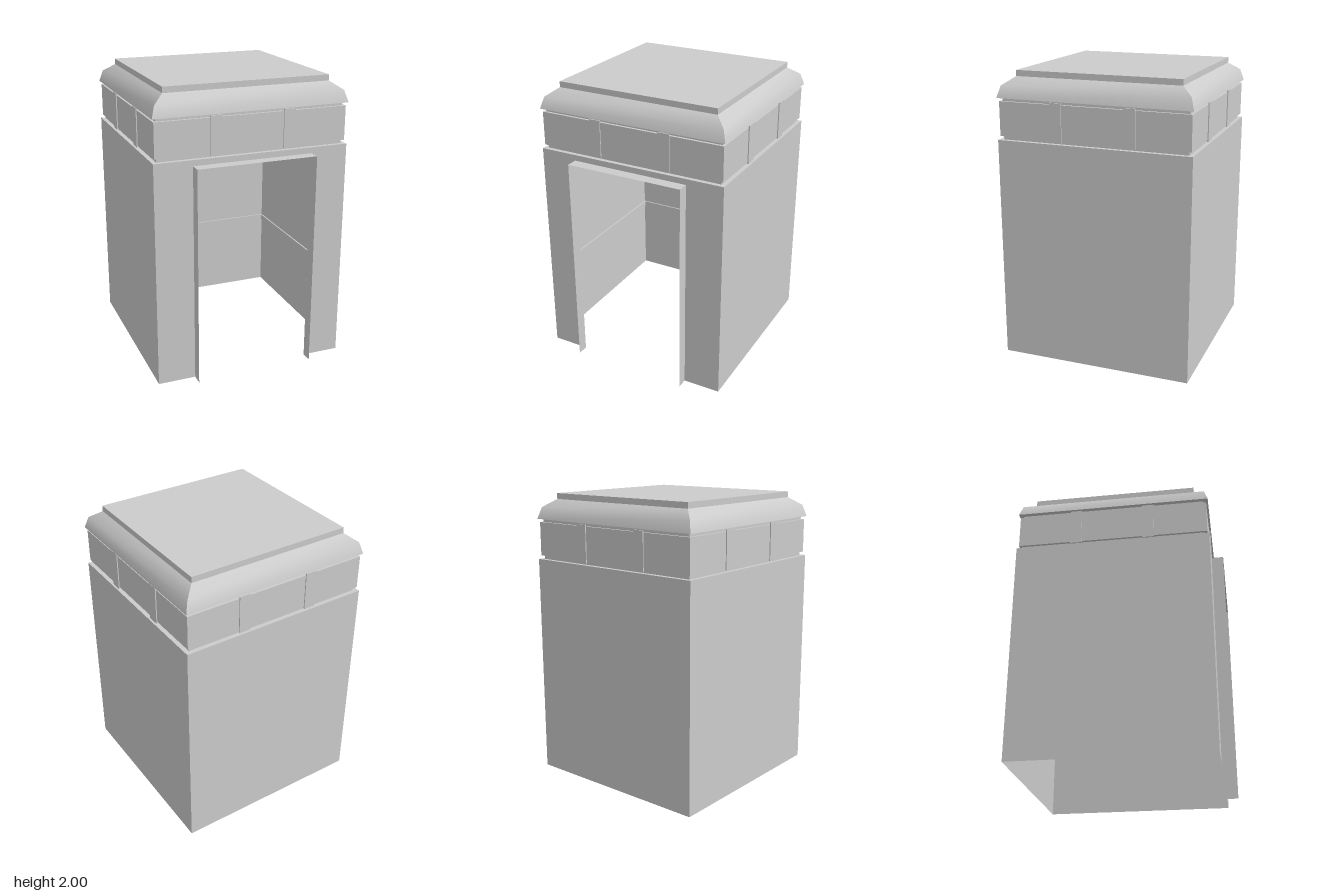
import * as THREE from 'three';

const W = 0.675, D = 0.67, ZC = -0.04;   // half width, half depth, body centre in z
const WALL_TOP = 1.545, DOOR_X = 0.415, DOOR_TOP = 1.505;

export function createModel() {
  const model = new THREE.Group();
  const solid = new THREE.MeshStandardMaterial({ color: 0xcccccc });
  const sheet = new THREE.MeshStandardMaterial({ color: 0xcccccc, side: THREE.DoubleSide });

  function add(name, geometry, x, y, z, material = solid, parent = model) {
    const mesh = new THREE.Mesh(geometry, material);
    mesh.name = name;
    mesh.position.set(x, y, z);
    parent.add(mesh);
    return mesh;
  }
  const block = (name, w, y0, y1, d, x = 0, z = ZC, parent = model) =>
    add(name, new THREE.BoxGeometry(w, y1 - y0, d), x, (y0 + y1) / 2, z, solid, parent);

  // Thin walls, open underneath
  const walls = new THREE.Group();
  walls.name = 'walls';
  model.add(walls);
  const back = add('backWall', new THREE.PlaneGeometry(2 * W, WALL_TOP), 0, WALL_TOP / 2, ZC - D, sheet, walls);
  back.rotation.y = Math.PI;
  for (const s of [-1, 1]) {
    const side = add(s > 0 ? 'leftWall' : 'rightWall',
      new THREE.PlaneGeometry(2 * D, WALL_TOP), s * W, WALL_TOP / 2, ZC, sheet, walls);
    side.rotation.y = s * Math.PI / 2;
  }
  const frontShape = new THREE.Shape([
    [-W, 0], [-DOOR_X, 0], [-DOOR_X, DOOR_TOP], [DOOR_X, DOOR_TOP],
    [DOOR_X, 0], [W, 0], [W, WALL_TOP], [-W, WALL_TOP],
  ].map(([x, y]) => new THREE.Vector2(x, y)));
  add('frontWall', new THREE.ShapeGeometry(frontShape), 0, 0, ZC + D, sheet, walls);
  const ceiling = add('ceiling', new THREE.PlaneGeometry(2 * W, 2 * D), 0, WALL_TOP, ZC, sheet, walls);
  ceiling.rotation.x = -Math.PI / 2;

  // Thin door surround projecting from the front
  const surround = new THREE.Group();
  surround.name = 'doorSurround';
  model.add(surround);
  const reach = 0.08, zMid = ZC + D + reach / 2;
  for (const s of [-1, 1]) {
    const jamb = add('doorJamb', new THREE.PlaneGeometry(reach, DOOR_TOP), s * DOOR_X, DOOR_TOP / 2, zMid, sheet, surround);
    jamb.rotation.y = s * Math.PI / 2;
  }
  const lintel = add('doorLintel', new THREE.PlaneGeometry(2 * DOOR_X, reach), 0, DOOR_TOP, zMid, sheet, surround);
  lintel.rotation.x = -Math.PI / 2;

  // Rail running round the inside of the walls
  const rail = new THREE.Group();
  rail.name = 'innerRail';
  model.add(rail);
  const t = 0.01, postW = W - DOOR_X;
  block('backRail', 2 * W - 0.002, 0.55, 0.59, t, 0, ZC - D + t / 2 + 0.001, rail);
  for (const s of [-1, 1]) {
    block('sideRail', t, 0.55, 0.59, 2 * D - 0.002, s * (W - t / 2 - 0.001), ZC, rail);
    block('frontRail', postW - 0.002, 0.55, 0.59, t, s * (DOOR_X + postW / 2), ZC + D - t / 2 - 0.001, rail);
  }

  // Recessed neck and the panel band around it
  block('neck', 1.29, WALL_TOP, 1.826, 1.28);
  block('panelBand', 1.325, 1.57, 1.803, 1.315);

  // Two clips on each side of the band
  const clips = new THREE.Group();
  clips.name = 'bandClips';
  model.add(clips);
  for (let i = 0; i < 4; i++) {
    const face = new THREE.Group();
    face.name = 'clipPair';
    face.position.z = ZC;
    face.rotation.y = i * Math.PI / 2;
    clips.add(face);
    const out = i % 2 ? 0.665 : 0.66;
    for (const s of [-1, 1]) block('clip', 0.08, 1.557, 1.816, 0.009, s * 0.253, out, face);
  }

  // Mitred roof skirt: each side is a strip, smooth across its bend
  const profile = [[0, 1.825], [0.024, 1.905], [0.1, 1.96]];  // inset, height
  const roof = new THREE.Group();
  roof.name = 'roofSkirt';
  model.add(roof);
  const corners = [[-1, 1], [1, 1], [1, -1], [-1, -1]];
  corners.forEach((a, i) => {
    const b = corners[(i + 1) % 4];
    const positions = [], index = [];
    profile.forEach(([inset, y], r) => {
      for (const c of [a, b]) positions.push(c[0] * (W - inset), y, c[1] * (D - inset));
      if (r) {
        const k = 2 * r;
        index.push(k - 2, k - 1, k + 1, k - 2, k + 1, k);
      }
    });
    const g = new THREE.BufferGeometry();
    g.setAttribute('position', new THREE.Float32BufferAttribute(positions, 3));
    g.setIndex(index);
    g.computeVertexNormals();
    add('roofSlope', g, 0, 0, ZC, sheet, roof);
  });
  const soffit = add('roofSoffit', new THREE.PlaneGeometry(2 * W, 2 * D), 0, 1.825, ZC, sheet, roof);
  soffit.rotation.x = Math.PI / 2;

  // Flat cap
  block('roofCap', 1.15, 1.955, 2, 1.14);

  return model;
}
